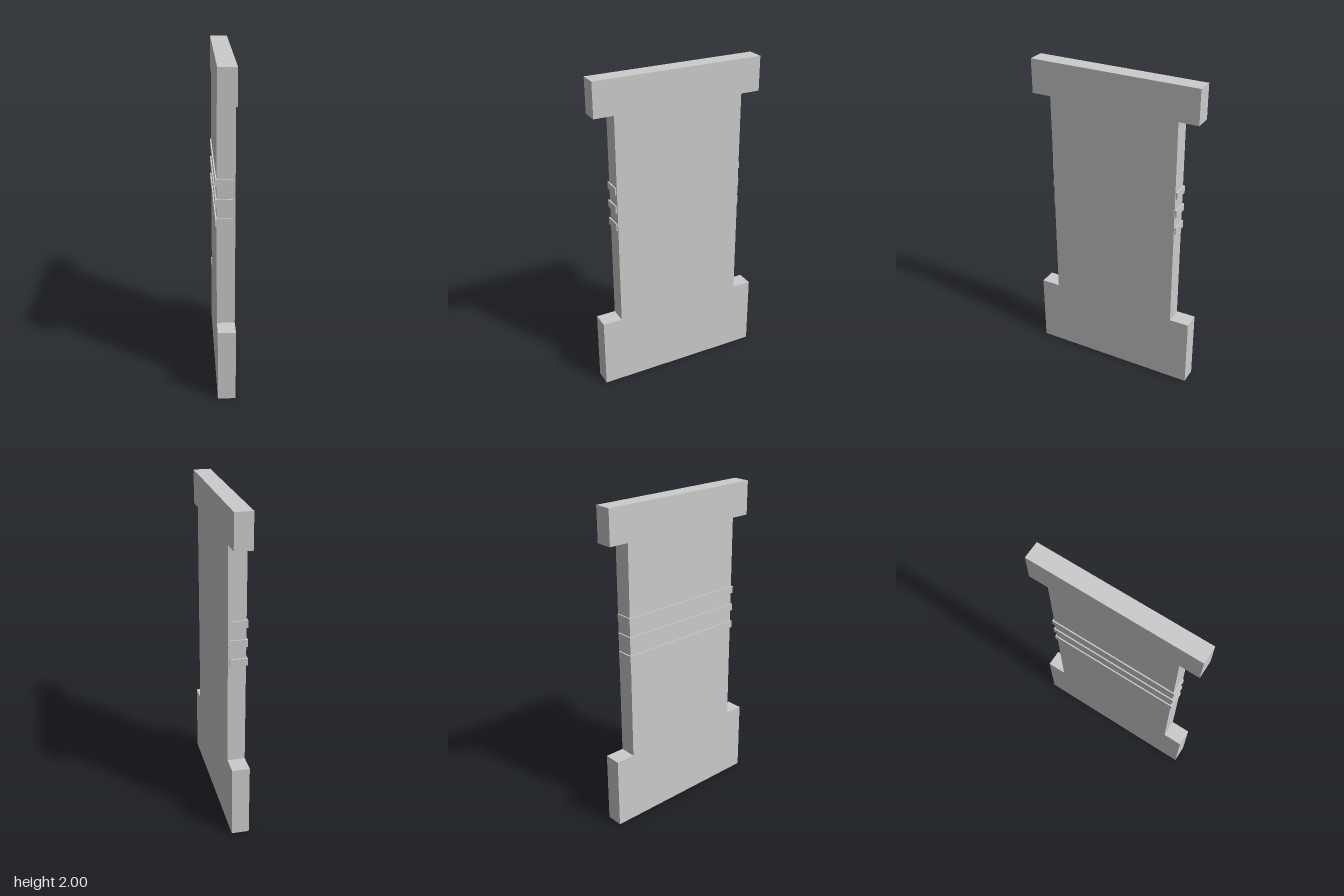
import * as THREE from 'three';

export function createModel() {
  const group = new THREE.Group();
  const material = new THREE.MeshStandardMaterial({ color: 0xcccccc, flatShading: true });

  // Slab: wide foot and head around a narrower shaft
  const half = [[0.532, 0], [0.532, 0.45], [0.41, 0.45], [0.41, 1.79], [0.532, 1.79], [0.532, 2]];
  const mirrored = half.map(([x, y]) => [-x, y]).reverse();
  const outline = new THREE.Shape([...half, ...mirrored].map(([x, y]) => new THREE.Vector2(x, y)));
  const slabGeometry = new THREE.ExtrudeGeometry(outline, { depth: 0.107, bevelEnabled: false });
  slabGeometry.rotateY(Math.PI / 2).translate(-0.05, 0, 0);
  const slab = new THREE.Mesh(slabGeometry, material);
  slab.name = 'slab';
  group.add(slab);

  // Three raised bands, set slightly toward the -x face
  const bandGeometry = new THREE.BoxGeometry(0.107, 0.044, 0.838);
  [1.097, 1.213, 1.33].forEach((y, i) => {
    const band = new THREE.Mesh(bandGeometry, material);
    band.name = `band${i + 1}`;
    band.position.set(-0.0045, y, 0);
    group.add(band);
  });

  return group;
}
